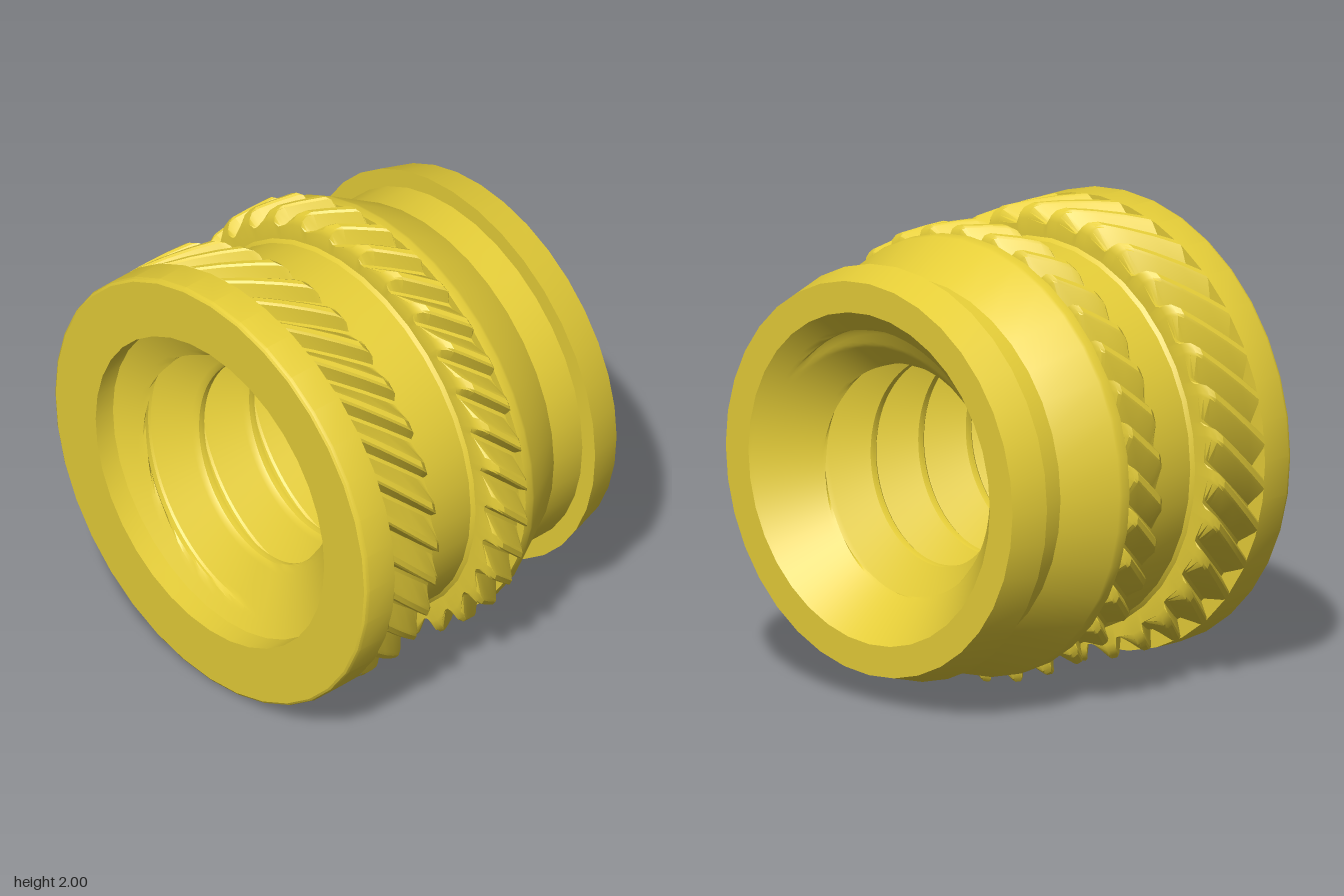
import * as THREE from 'three';
import { toCreasedNormals } from 'three/addons/utils/BufferGeometryUtils.js';

const TAU = Math.PI * 2;
const HALF = 0.785;  // half length along z
const MOUTH = 0.73;  // radius of the opening at each end
const SEAT = 0.685;  // z where the straight front mouth meets its countersink
const clamp = THREE.MathUtils.clamp;

// Closed skin around the z axis; point(i, j) gives [angle, radius, z]
function skin(columns, rows, point, inward = false) {
  const position = [], index = [];
  for (let j = 0; j < rows; j++) {
    for (let i = 0; i <= columns; i++) {
      const [angle, radius, z] = point(i, j);
      position.push(radius * Math.cos(angle), radius * Math.sin(angle), z);
      if (i === columns || j === rows - 1) continue;
      const a = j * (columns + 1) + i, b = a + 1, c = b + columns + 1, d = c - 1;
      if (inward) index.push(a, c, b, a, d, c);
      else index.push(a, b, c, a, c, d);
    }
  }
  const geometry = new THREE.BufferGeometry();
  geometry.setAttribute('position', new THREE.Float32BufferAttribute(position, 3));
  geometry.setIndex(index);
  return toCreasedNormals(geometry, 0.45);
}

// Turned shell: lip, neck, cone, waist, flange and front mouth
function bodyGeometry() {
  const profile = [
    [MOUTH, -HALF], [0.867, -HALF], [0.912, -0.62], [0.83, -0.62],
    [0.83, -0.455], [0.96, -0.225], [0.965, -0.21], [0.965, -0.17], [0.88, -0.17],
    [0.88, 0.025], [0.865, 0.03], [0.85, 0.045], [0.85, 0.315], [0.865, 0.33],
    [0.88, 0.335], [0.88, 0.62], [1, 0.62], [1, 0.765], [0.995, 0.778],
    [0.985, HALF], [MOUTH, HALF], [MOUTH, SEAT],
  ].map(([r, z]) => new THREE.Vector2(r, z));
  const geometry = new THREE.LatheGeometry(profile, 36);
  geometry.rotateX(Math.PI / 2);
  return toCreasedNormals(geometry, 0.4);
}

// Ring of slanted saw teeth; each row is [z, largest radius there]
function knurlGeometry(rows) {
  const teeth = 32, root = 0.92, tip = 1;
  const tooth = [[0, 0], [0.12, 0], [0.22, 0.88], [0.28, 1], [0.44, 1], [0.52, 0.9]];
  return skin(teeth * tooth.length, rows.length, (i, j) => {
    const [phase, height] = tooth[i % tooth.length];
    const [z, limit] = rows[j];
    const angle = (Math.floor(i / tooth.length) + phase) / teeth * TAU + z;
    return [angle, Math.min(root + (tip - root) * height, limit), z];
  });
}

// Right-hand thread with a wide front countersink and a steeper rear one
function boreGeometry() {
  const pitch = 0.29, perTurn = 28, columns = 72;
  const crest = 0.45, depth = 0.19, crestAtRight = 0.425;
  const start = -HALF - pitch;
  const rows = Math.ceil((SEAT - start) / pitch * perTurn) + 1;
  return skin(columns, rows, (i, j) => {
    const u = start + j * pitch / perTurn;
    const z = clamp(u + pitch * i / columns, -HALF, SEAT);
    const turns = (u - crestAtRight) / pitch + 0.5;
    const fromCrest = Math.abs(turns - Math.round(turns)) * pitch;
    const thread = crest + depth * clamp((fromCrest - 0.018) / 0.112, 0, 1);
    const front = MOUTH - 1.75 * (SEAT - z);
    const rear = MOUTH - (z + HALF);
    return [i / columns * TAU, Math.max(front, rear, thread), z];
  }, true);
}

export function createModel() {
  const brass = new THREE.MeshStandardMaterial({ color: 0xe6ce38 });
  brass.name = 'brass';

  const insert = new THREE.Group();
  insert.name = 'threadedInsert';
  const add = (name, geometry) => {
    const mesh = new THREE.Mesh(geometry, brass);
    mesh.name = name;
    mesh.position.y = 1;
    insert.add(mesh);
  };

  // Rounded tooth ends, as [distance from the end, radius]
  const round = [[0, 0.86], [0, 0.94], [0.008, 0.965], [0.022, 0.985], [0.045, 1]];
  const risingFrom = (z, scale) => round.map(([d, r]) => [z + d * scale, r]);
  const fallingTo = (z) => round.map(([d, r]) => [z - d, r]).reverse();

  add('body', bodyGeometry());
  add('frontKnurl', knurlGeometry([...risingFrom(0.33, 1), [0.45, 1], [0.54, 1], [0.62, 1]]));
  add('rearKnurl', knurlGeometry([...risingFrom(-0.172, 0.5), [-0.07, 1], ...fallingTo(0.03)]));
  add('threadedBore', boreGeometry());
  return insert;
}
